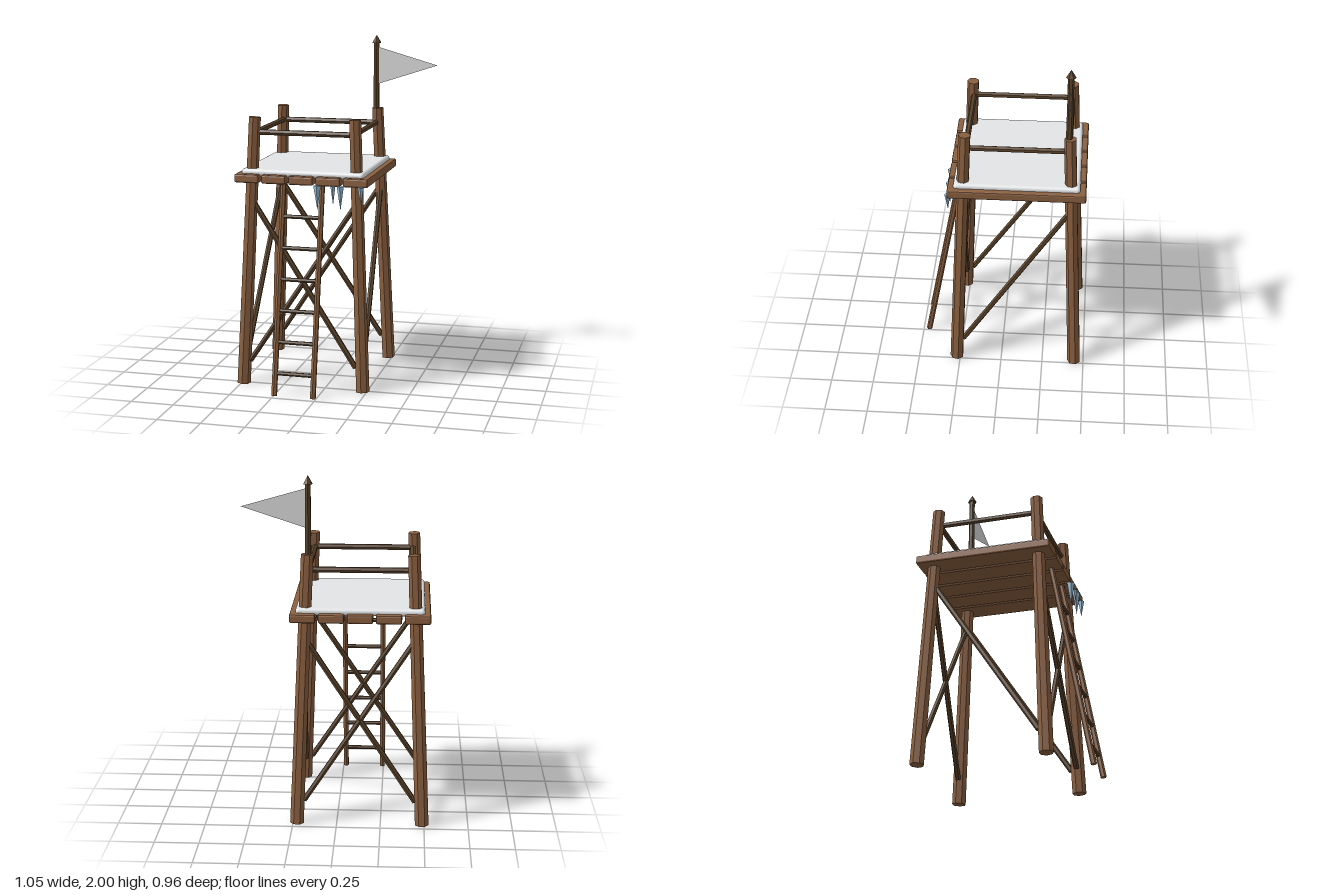
import * as THREE from 'three';
import { RoundedBoxGeometry } from 'three/addons/geometries/RoundedBoxGeometry.js';

const CX = -0.13, CZ = -0.087; // tower axis
const FOOT = 0.357, HEAD = 0.293, POST_H = 1.565; // post spread at ground and top

const mat = (name, color, extra = {}) => {
  const m = new THREE.MeshStandardMaterial({ color, flatShading: true, ...extra });
  m.name = name;
  return m;
};

// Distance of a post's axis from the tower axis at height y
const spread = (y) => FOOT + (HEAD - FOOT) * (y / POST_H);
const at = (x, y, z) => new THREE.Vector3(CX + x, y, CZ + z);

export function createModel() {
  const wood = mat('wood', 0x8b6040);
  const darkWood = mat('dark wood', 0x5a432a);
  const snow = mat('snow', 0xeceef0);
  snow.flatShading = false;
  const ice = mat('ice', 0x9cc6e0);
  const cloth = mat('cloth', 0xdcdcdc, { side: THREE.DoubleSide });

  const model = new THREE.Group();
  model.name = 'watchtower';

  const add = (name, geometry, material, x = 0, y = 0, z = 0) => {
    const mesh = new THREE.Mesh(geometry, material);
    mesh.name = name;
    mesh.position.set(x, y, z);
    model.add(mesh);
    return mesh;
  };

  // Round timber running from a to b
  const beam = (name, a, b, r0, r1, sides, material) => {
    const dir = b.clone().sub(a);
    const mesh = add(name, new THREE.CylinderGeometry(r1, r0, dir.length(), sides), material);
    mesh.position.copy(a).add(b).multiplyScalar(0.5);
    mesh.quaternion.setFromUnitVectors(new THREE.Vector3(0, 1, 0), dir.normalize());
    return mesh;
  };

  // Four leaning corner posts
  for (const sx of [-1, 1]) {
    for (const sz of [-1, 1]) {
      beam('cornerPost', at(sx * FOOT, 0.003, sz * FOOT), at(sx * HEAD, POST_H, sz * HEAD),
        0.04, 0.035, 7, wood);
    }
  }

  // Cross braces front and back, single diagonals on the sides
  const low = 0.14, high = 1.1, reach = 0.315;
  for (const s of [-1, 1]) {
    for (const d of [-1, 1]) {
      beam('crossBrace', at(-d * reach, low, s * spread(low)), at(d * reach, high, s * spread(high)),
        0.016, 0.016, 6, darkWood);
    }
    beam('sideBrace', at(s * spread(low), low, reach), at(s * spread(high), high, -reach),
      0.016, 0.016, 6, darkWood);
  }

  // Platform planks
  for (let i = -2; i <= 2; i++) {
    add('plank', new RoundedBoxGeometry(0.144, 0.05, 0.785, 1, 0.01), wood, CX + i * 0.159, 1.222, CZ);
  }

  // Snow blanket on the platform
  add('snowCover', new RoundedBoxGeometry(0.716, 0.042, 0.716, 4, 0.02), snow, CX, 1.252, CZ);

  // Guard rails
  const rail = 0.288, railY = 1.478;
  for (const s of [-1, 1]) {
    beam('guardRail', at(-rail, railY, s * rail), at(rail, railY, s * rail), 0.017, 0.017, 6, darkWood);
    beam('guardRail', at(s * rail, railY, -rail), at(s * rail, railY, rail), 0.017, 0.017, 6, darkWood);
  }

  // Leaning ladder
  const ladderZ = (y) => 0.466 - 0.186 * y;
  const ladderX = [-0.244, -0.016];
  for (const x of ladderX) {
    beam('ladderRail', new THREE.Vector3(x, 0.003, ladderZ(0)), new THREE.Vector3(x, 1.205, ladderZ(1.205)),
      0.017, 0.016, 6, wood);
  }
  for (let i = 0; i < 6; i++) {
    const y = 0.13 + i * 0.176;
    beam('ladderRung', new THREE.Vector3(ladderX[0], y, ladderZ(y)),
      new THREE.Vector3(ladderX[1], y, ladderZ(y)), 0.012, 0.012, 6, darkWood);
  }

  // Icicles under the front edge: x, tip height, radius
  for (const [x, tip, r] of [[-0.03, 1.06, 0.023], [0.061, 1.092, 0.015], [0.104, 1.062, 0.021], [0.221, 1.1, 0.019]]) {
    const h = 1.2 - tip;
    add('icicle', new THREE.CylinderGeometry(r, 0, h, 5), ice, x, tip + h / 2, 0.302);
  }

  // Flagpole with pointed finial
  const px = 0.158, pz = -0.373;
  add('flagpole', new THREE.CylinderGeometry(0.017, 0.019, 0.42, 6), darkWood, px, 1.75, pz);
  add('finial', new THREE.ConeGeometry(0.028, 0.047, 6), darkWood, px, 1.9765, pz);

  // Triangular pennant
  const pennant = new THREE.Shape([
    new THREE.Vector2(0.012, 1.71),
    new THREE.Vector2(0.367, 1.826),
    new THREE.Vector2(0.012, 1.928),
  ]);
  add('pennant', new THREE.ShapeGeometry(pennant), cloth, px, 0, pz);

  return model;
}
